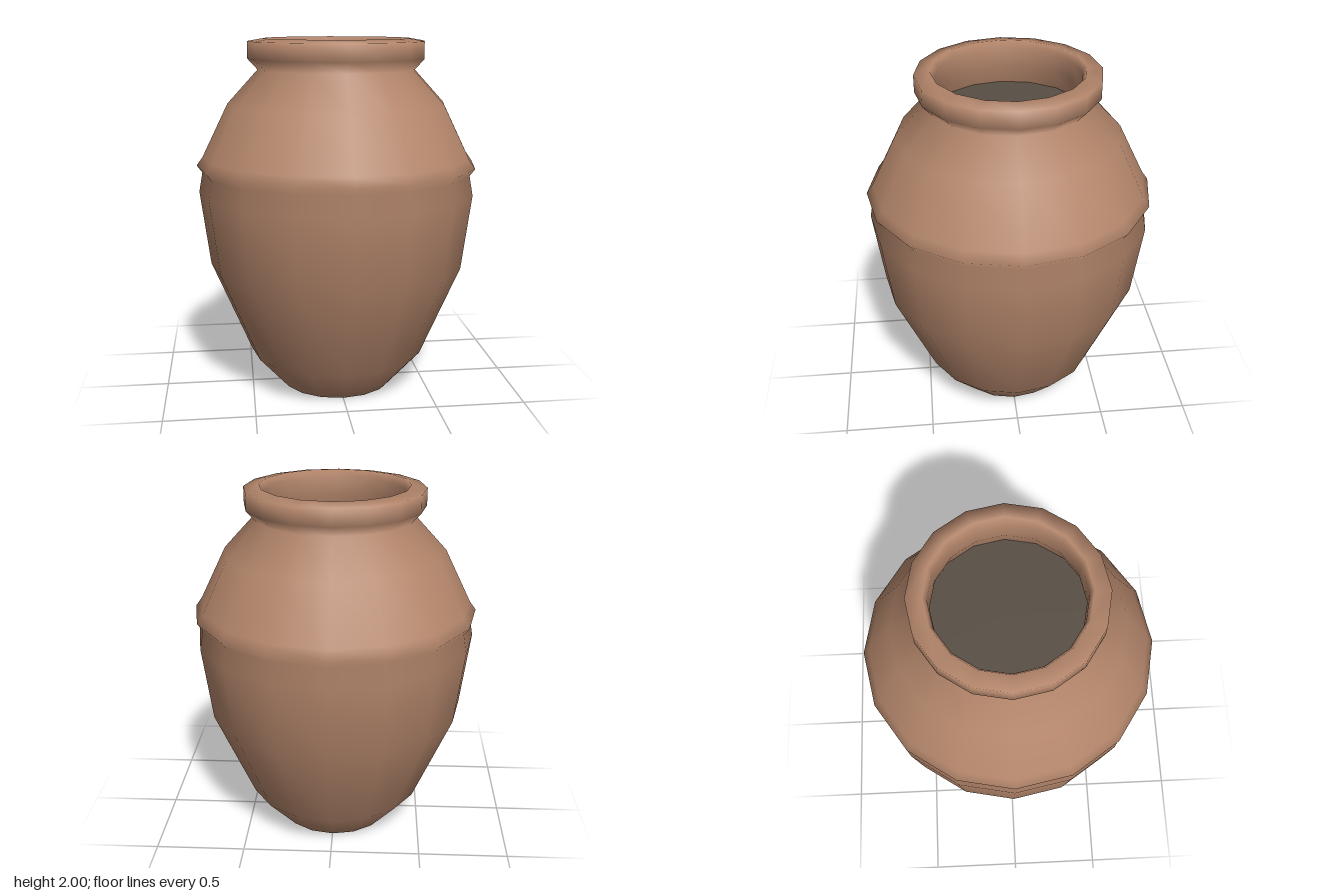
import * as THREE from 'three';

const SIDES = 16;

export function createModel() {
  const model = new THREE.Group();
  model.name = 'jar';
  const clay = new THREE.MeshStandardMaterial({ color: 0xb4866b });
  const dark = new THREE.MeshStandardMaterial({ color: 0x584e44 });

  const add = (name, geometry, material) => {
    const mesh = new THREE.Mesh(geometry, material);
    mesh.name = name;
    model.add(mesh);
    return mesh;
  };

  // Wall: up the outside, over the rim and down the inside of the neck
  const profile = [
    [0.32, 0], [0.5, 0.2], [0.725, 0.73], [0.78, 1.15], // belly
    [0.76, 1.26], [0.79, 1.3], [0.755, 1.35], // shoulder ridge
    [0.61, 1.645], [0.44, 1.83], // shoulder and neck
    [0.495, 1.89], [0.495, 1.985], [0.41, 2], // rim
    [0.39, 1.96], [0.385, 1.86], [0.42, 1.75], // inside
  ].map(([r, y]) => new THREE.Vector2(r, y));
  add('wall', new THREE.LatheGeometry(profile, SIDES), clay);

  // Flat underside
  const base = add('base', new THREE.CircleGeometry(0.32, SIDES), clay);
  base.rotation.x = Math.PI / 2;

  // Dark contents closing the neck
  const contents = add('contents', new THREE.CircleGeometry(0.42, SIDES), dark);
  contents.rotation.x = -Math.PI / 2;
  contents.position.y = 1.75;

  return model;
}
